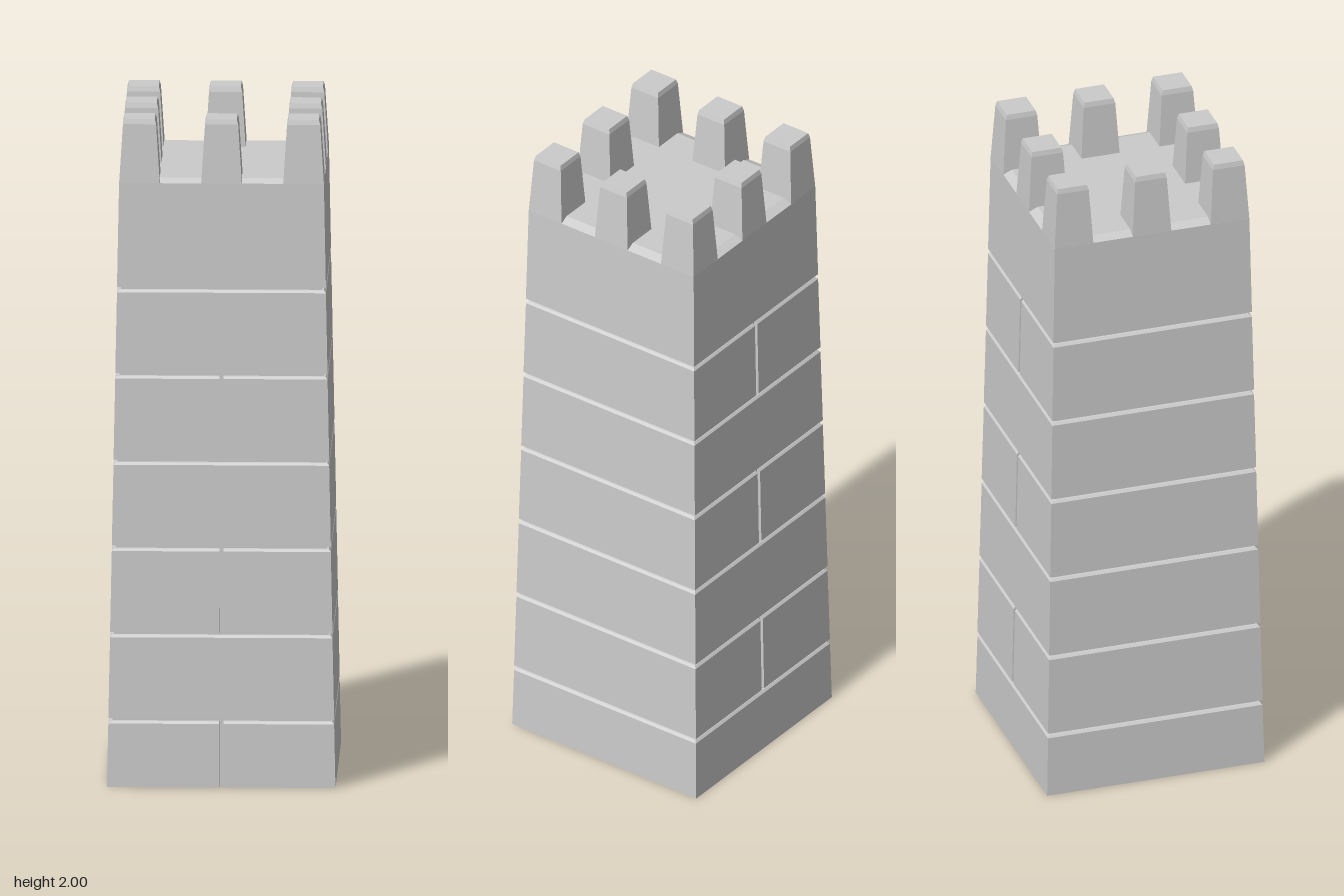
import * as THREE from 'three';

const material = new THREE.MeshStandardMaterial({ color: 0xcccccc, flatShading: true, side: THREE.DoubleSide });

// Skin a stack of equal-length rings (counter-clockwise from above), optionally closing the top.
function loft(name, rings, capTop) {
  const n = rings[0].length, index = [];
  for (let r = 0; r < rings.length - 1; r++) {
    for (let i = 0; i < n; i++) {
      const a = r * n + i, b = r * n + (i + 1) % n;
      index.push(a, b, b + n, a, b + n, a + n);
    }
  }
  if (capTop) {
    const t = (rings.length - 1) * n;
    for (let i = 1; i < n - 1; i++) index.push(t, t + i, t + i + 1);
  }
  let geometry = new THREE.BufferGeometry();
  geometry.setAttribute('position', new THREE.Float32BufferAttribute(rings.flat(2), 3));
  geometry.setIndex(index);
  geometry = geometry.toNonIndexed();
  geometry.computeVertexNormals();
  const mesh = new THREE.Mesh(geometry, material);
  mesh.name = name;
  return mesh;
}

// Rectangular ring
const rect = (x0, x1, z0, z1, y) => [[x1, y, z1], [x1, y, z0], [x0, y, z0], [x0, y, z1]];

// Square ring with a vertical seam cut into its front and back edges
const SEAM = 0.006;
function seamed(w, y, front, back) {
  const g = SEAM, f = w - front, b = back - w;
  return [
    [w, y, w], [w, y, -w],
    [g, y, -w], [g, y, b], [-g, y, b], [-g, y, -w],
    [-w, y, -w], [-w, y, w],
    [-g, y, w], [-g, y, f], [g, y, f], [g, y, w],
  ];
}

export function createModel() {
  const tower = new THREE.Group();
  tower.name = 'tower';

  const COURSES = 7, FIRST = 0.206, STEP = 0.2585, DEPTH = 0.012;
  const LEDGE = 1.81, FLOOR = 1.822;
  const wall = (y) => 0.337 - 0.0193 * y;

  // Tapered stone courses; seams alternate between the front and the back
  const masonry = new THREE.Group();
  masonry.name = 'masonry';
  for (let k = 0; k < COURSES; k++) {
    const top = k === COURSES - 1;
    const front = k % 2 === 0 ? DEPTH : 0, back = DEPTH - front;
    const start = k === 0 ? 0 : FIRST + STEP * (k - 1);
    const end = top ? LEDGE : FIRST + STEP * k;
    const rings = [];
    // recessed joint below the course
    if (k > 0) rings.push(seamed(wall(start) - DEPTH, start - 0.002, 0, 0));
    rings.push(seamed(wall(start), start, front, top ? 0 : back));
    if (top) {
      rings.push(seamed(wall(end), end, front, 0), seamed(wall(end), end, 0, 0));
      // sloped crenel sill and roof floor
      rings.push(seamed(0.275, FLOOR, 0, 0));
    } else {
      // bevelled upper edge and joint
      rings.push(seamed(wall(end), end - 0.016, front, back));
      rings.push(seamed(wall(end) - 0.006, end - 0.009, front / 2, back / 2));
      rings.push(seamed(wall(end) - DEPTH, end - 0.008, 0, 0));
      rings.push(seamed(wall(end) - DEPTH, end - 0.002, 0, 0));
    }
    masonry.add(loft(`course${k + 1}`, rings, top));
  }
  tower.add(masonry);

  // Eight tapered merlons around the roof
  const merlons = new THREE.Group();
  merlons.name = 'merlons';
  const levels = [[0, LEDGE], [0.011, 1.985], [0.015, 2]];
  const spans = [[-0.302, -0.182], [-0.06, 0.06], [0.182, 0.302]];
  spans.forEach(([x0, x1], i) => spans.forEach(([z0, z1], j) => {
    if (i === 1 && j === 1) return;
    const rings = levels.map(([t, y]) => rect(x0 + t, x1 - t, z0 + t, z1 - t, y));
    merlons.add(loft('merlon', rings, true));
  }));
  tower.add(merlons);

  return tower;
}
